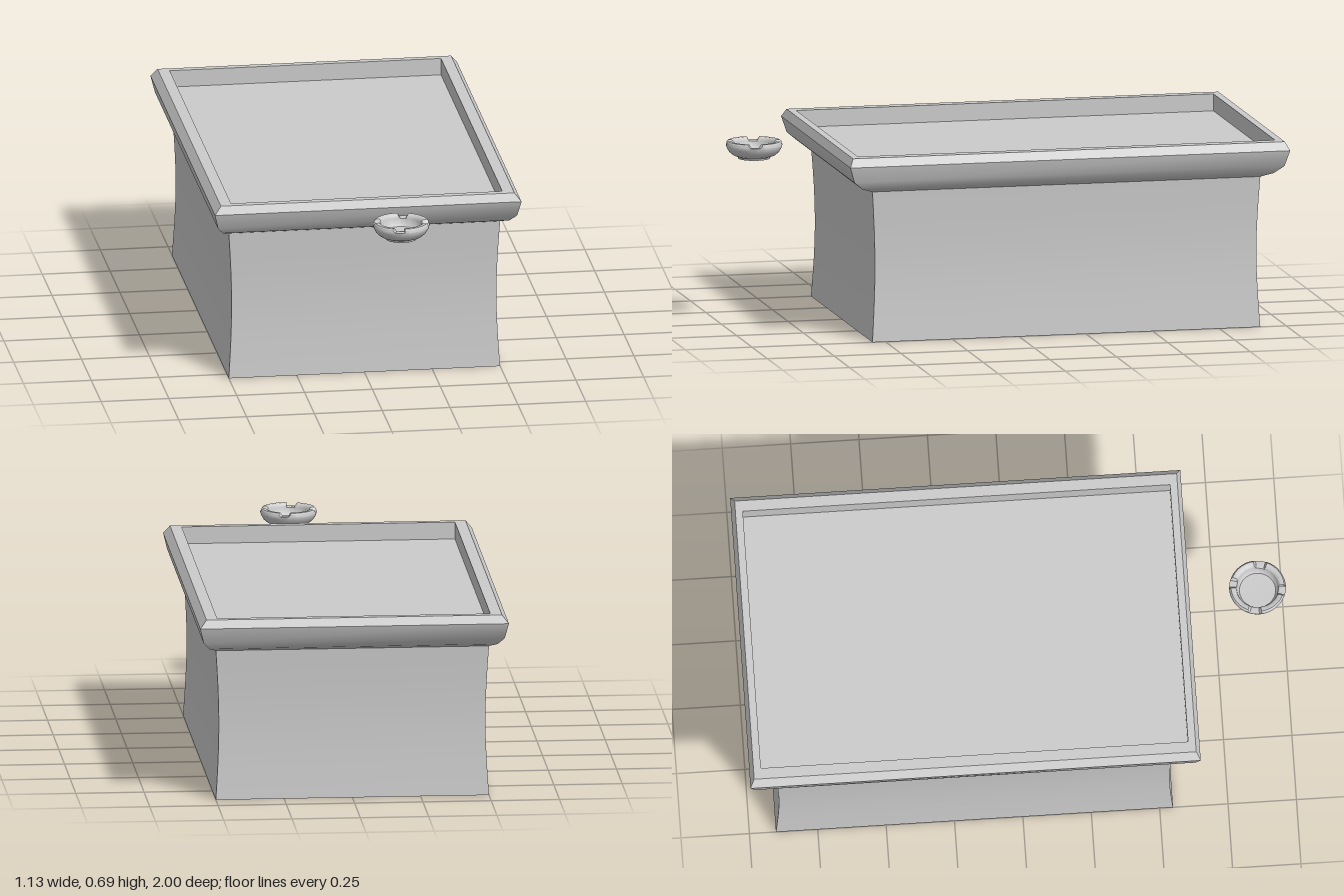
import * as THREE from 'three';
import { toCreasedNormals } from 'three/addons/utils/BufferGeometryUtils.js';

const material = new THREE.MeshStandardMaterial({ color: 0xcccccc, side: THREE.DoubleSide });

function part(name, geometry, crease) {
  const mesh = new THREE.Mesh(toCreasedNormals(geometry, crease), material);
  mesh.name = name;
  return mesh;
}

// Skin a stack of rectangles, each given as [half width, half depth, height]
function rectangleLoft(rings) {
  const positions = [];
  const corner = ([hx, hz, y], i) =>
    [i % 4 < 2 ? hx : -hx, y, i % 4 === 0 || i % 4 === 3 ? hz : -hz];
  for (let r = 0; r < rings.length - 1; r++) {
    for (let i = 0; i < 4; i++) {
      const a = corner(rings[r], i), b = corner(rings[r], i + 1);
      const c = corner(rings[r + 1], i + 1), d = corner(rings[r + 1], i);
      if (rings[r][0] > 0) positions.push(...a, ...b, ...c);
      if (rings[r + 1][0] > 0) positions.push(...a, ...c, ...d);
      // a ring of zero size closes the shape with a fan
      if (rings[r][0] > 0 !== rings[r + 1][0] > 0) continue;
    }
  }
  const geometry = new THREE.BufferGeometry();
  geometry.setAttribute('position', new THREE.Float32BufferAttribute(positions, 3));
  return geometry;
}

// Shallow bowl with four cigarette notches cut in its rim
function ashtrayGeometry() {
  const profile = [
    [0, 0], [0.058, 0], [0.06, 0.007], [0.078, 0.014], [0.092, 0.026], [0.1, 0.04],
    [0.1035, 0.052], [0.102, 0.06], [0.097, 0.065], [0.084, 0.065], [0.079, 0.061],
    [0.076, 0.05], [0.073, 0.03], [0.066, 0.022], [0, 0.02],
  ].map(([x, y]) => new THREE.Vector2(x, y));
  const geometry = new THREE.LatheGeometry(profile, 72);
  const p = geometry.attributes.position;
  const quarter = Math.PI / 2;
  for (let i = 0; i < p.count; i++) {
    const angle = Math.atan2(p.getX(i), p.getZ(i)) + 0.2;
    const offset = angle - Math.round(angle / quarter) * quarter;
    if (Math.abs(offset) < 0.2) p.setY(i, Math.min(p.getY(i), 0.052));
  }
  return geometry;
}

export function createModel() {
  const model = new THREE.Group();

  const table = new THREE.Group();
  table.name = 'table';
  table.position.z = -0.177;

  // Box base with slightly concave sides
  const baseRings = [[0, 0, 0]];
  const steps = 8;
  for (let i = 0; i <= steps; i++) {
    const t = i / steps;
    const waist = 0.012 * Math.sin(Math.PI * t);
    baseRings.push([0.5 - waist, 0.726 - waist, 0.557 * t]);
  }
  table.add(part('base', rectangleLoft(baseRings), 0.6));

  // Moulded top with a chamfered lip around a sunken panel
  table.add(part('top', rectangleLoft([
    [0.5, 0.726, 0.557], [0.528, 0.77, 0.573], [0.551, 0.805, 0.602], [0.565, 0.823, 0.66],
    [0.541, 0.808, 0.69], [0.5, 0.781, 0.69], [0.5, 0.781, 0.627], [0, 0, 0.627],
  ]), 0.65));
  model.add(table);

  const ashtray = part('ashtray', ashtrayGeometry(), 0.7);
  ashtray.position.set(0.085, 0.625, 0.8965);
  model.add(ashtray);

  return model;
}
